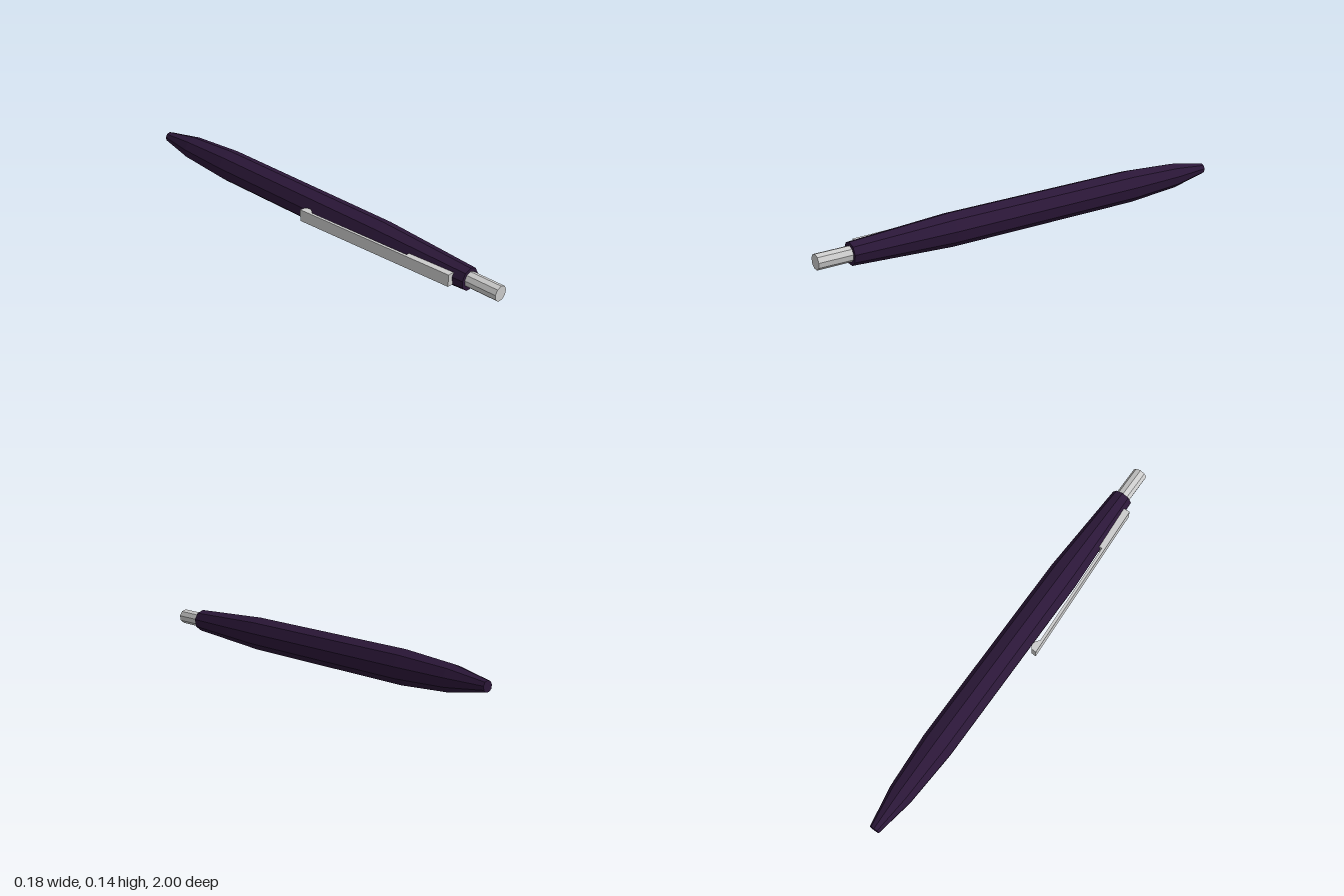
import * as THREE from 'three';

const AXIS_X = 0.0175, AXIS_Y = 0.07, SIDES = 9;

// Nine-sided turned part along z; profile is [radius, z] from back to front
function turned(name, profile, material) {
  const points = profile.map(([r, z]) => new THREE.Vector2(r, z));
  const geometry = new THREE.LatheGeometry(points, SIDES, Math.PI);
  geometry.rotateX(Math.PI / 2);
  const mesh = new THREE.Mesh(geometry, material);
  mesh.name = name;
  mesh.position.set(AXIS_X, AXIS_Y, 0);
  return mesh;
}

export function createModel() {
  const purple = new THREE.MeshStandardMaterial({ color: 0x2b1738, flatShading: true });
  const grey = new THREE.MeshStandardMaterial({ color: 0xcccccc, flatShading: true });
  const pen = new THREE.Group();
  pen.name = 'pen';

  // Barrel tapering to the writing tip at the back
  const barrel = turned('barrel', [
    [0, -1], [0.024, -1], [0.057, -0.82], [0.074, -0.56],
    [0.074, 0.39], [0.05, 0.85], [0, 0.85],
  ], purple);
  barrel.scale.x = 0.98;
  pen.add(barrel);

  // Push button at the front end
  pen.add(turned('pushButton', [[0, 0.83], [0.034, 0.83], [0.034, 1], [0, 1]], grey));

  // Pocket clip: slim arm with a mounting block and a rounded bump at its free end
  const outline = new THREE.Shape([
    [-0.09, 0.01], [-0.066, 0.012], [-0.057, 0.025], [-0.056, 0.037],
    [-0.062, 0.052], [-0.075, 0.066], [-0.052, 0.58], [-0.038, 0.58],
    [-0.025, 0.8], [-0.055, 0.8],
  ].map(([x, z]) => new THREE.Vector2(x, z)));
  const clipGeometry = new THREE.ExtrudeGeometry(outline, { depth: 0.054, bevelEnabled: false });
  clipGeometry.rotateX(Math.PI / 2);
  const clip = new THREE.Mesh(clipGeometry, grey);
  clip.name = 'clip';
  clip.position.y = 0.098;
  pen.add(clip);

  return pen;
}
